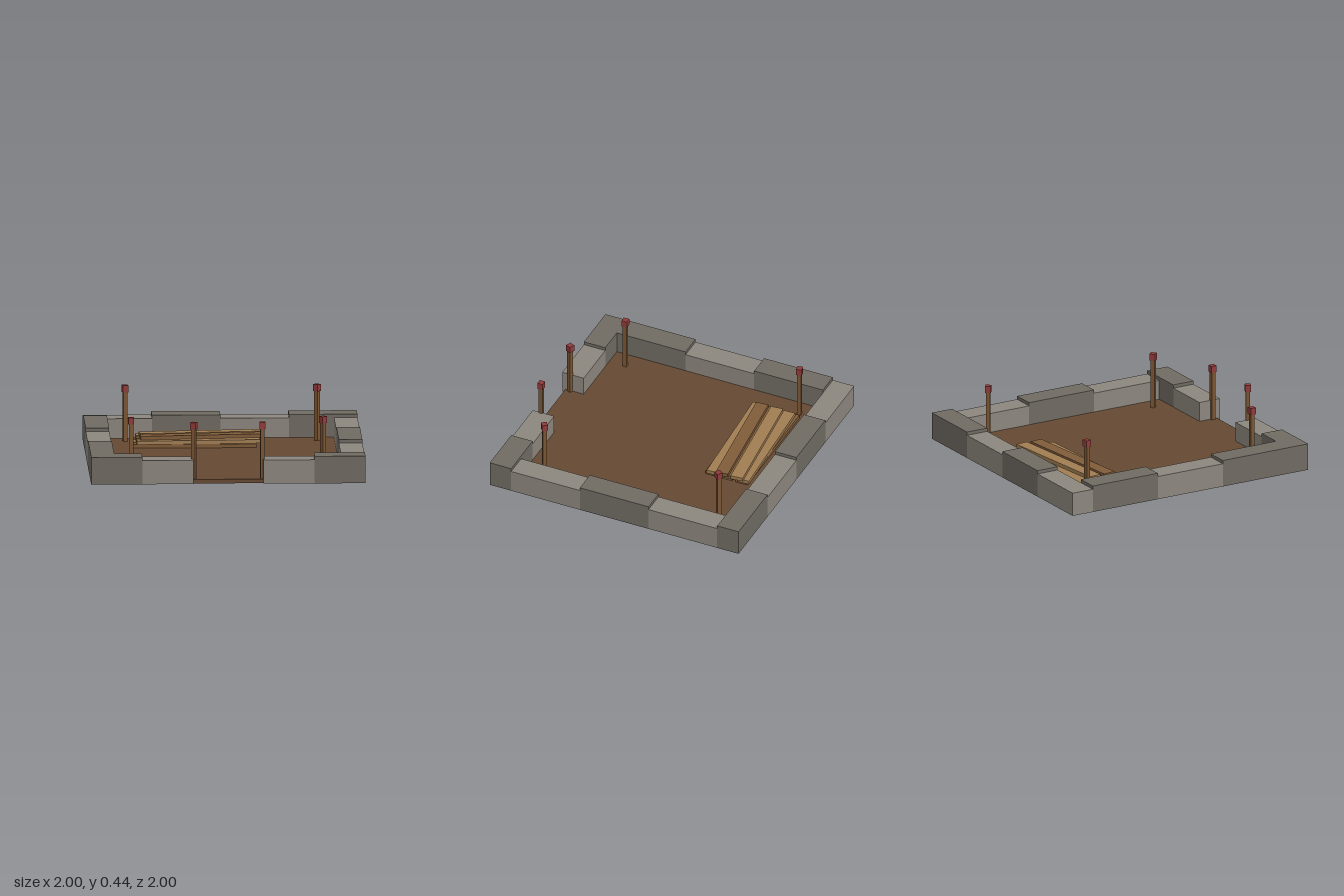
import * as THREE from 'three';

const mat = (color) => new THREE.MeshStandardMaterial({ color, flatShading: true });

export function createModel() {
  const group = new THREE.Group();
  const soil = mat(0x654932);
  const stones = { light: mat(0x8b867d), dark: mat(0x6f6a62) };
  const woods = { light: mat(0xa07d52), dark: mat(0x7f5c3a) };
  const postWood = mat(0x7a5533);
  const red = mat(0x8f3a3a);

  const box = (parent, name, material, size, pos, angle = 0) => {
    const mesh = new THREE.Mesh(new THREE.BoxGeometry(...size), material);
    mesh.name = name;
    mesh.position.set(...pos);
    mesh.rotation.y = angle;
    parent.add(mesh);
    return mesh;
  };

  // Earth floor, open at the doorway
  const floorTop = 0.03;
  box(group, 'earthFloor', soil, [1.95, floorTop, 1.95], [0, floorTop / 2, 0]);

  // Foundation stones: dark ones stand slightly taller than light ones
  const wall = new THREE.Group();
  wall.name = 'foundationWall';
  group.add(wall);
  const inner = 0.828;
  const stone = (tone, x0, x1, z0, z1) => {
    const h = tone === 'dark' ? 0.2 : 0.175;
    box(wall, tone + 'Stone', stones[tone], [x1 - x0, h, z1 - z0],
      [(x0 + x1) / 2, h / 2, (z0 + z1) / 2]);
  };
  for (let i = 0; i < 4; i++) {
    stone(i % 2 ? 'dark' : 'light', -1 + i * 0.5, -0.5 + i * 0.5, -1, -inner);
  }
  const step = (2 * inner) / 3;
  for (let i = 0; i < 3; i++) {
    const z0 = -inner + i * step;
    stone(i % 2 ? 'light' : 'dark', -1, -inner, z0, z0 + step);
    stone(i % 2 ? 'dark' : 'light', inner, 1, z0, z0 + step);
  }
  stone('dark', -1, -0.628, inner, 1);
  stone('light', -0.628, -0.255, inner, 1);
  stone('light', 0.255, 0.628, inner, 1);
  stone('dark', 0.628, 1, inner, 1);

  // Marker posts with red caps: x, z, turn in degrees
  const posts = [
    [-0.7, -0.7, 12], [0.7, -0.7, -38], [-0.7, 0.7, 1],
    [0.7, 0.7, 38], [-0.25, 0.935, -22], [0.25, 0.935, 1],
  ];
  for (const [x, z, deg] of posts) {
    const post = new THREE.Group();
    post.name = 'markerPost';
    post.position.set(x, 0, z);
    post.rotation.y = THREE.MathUtils.degToRad(deg);
    box(post, 'postShaft', postWood, [0.03, 0.39, 0.03], [0, 0.215, 0]);
    box(post, 'postCap', red, [0.043, 0.05, 0.043], [0, 0.42, 0]);
    group.add(post);
  }

  // Plank stack: each layer is twisted a little further
  const stack = new THREE.Group();
  stack.name = 'plankStack';
  group.add(stack);
  const layers = [
    { x: -0.2, angle: 0, planks: [[-0.675, 'dark'], [-0.553, 'light'], [-0.433, 'dark']] },
    { x: -0.175, angle: 0.05, planks: [[-0.675, 'light'], [-0.553, 'dark'], [-0.432, 'light']] },
    { x: -0.15, angle: 0.1, planks: [[-0.612, 'light'], [-0.493, 'dark']] },
  ];
  layers.forEach(({ x, angle, planks }, i) => {
    for (const [z, tone] of planks) {
      box(stack, 'plank', woods[tone], [0.9, 0.027, 0.094],
        [x, floorTop + 0.015 + i * 0.0285, z], angle);
    }
  });

  return group;
}
